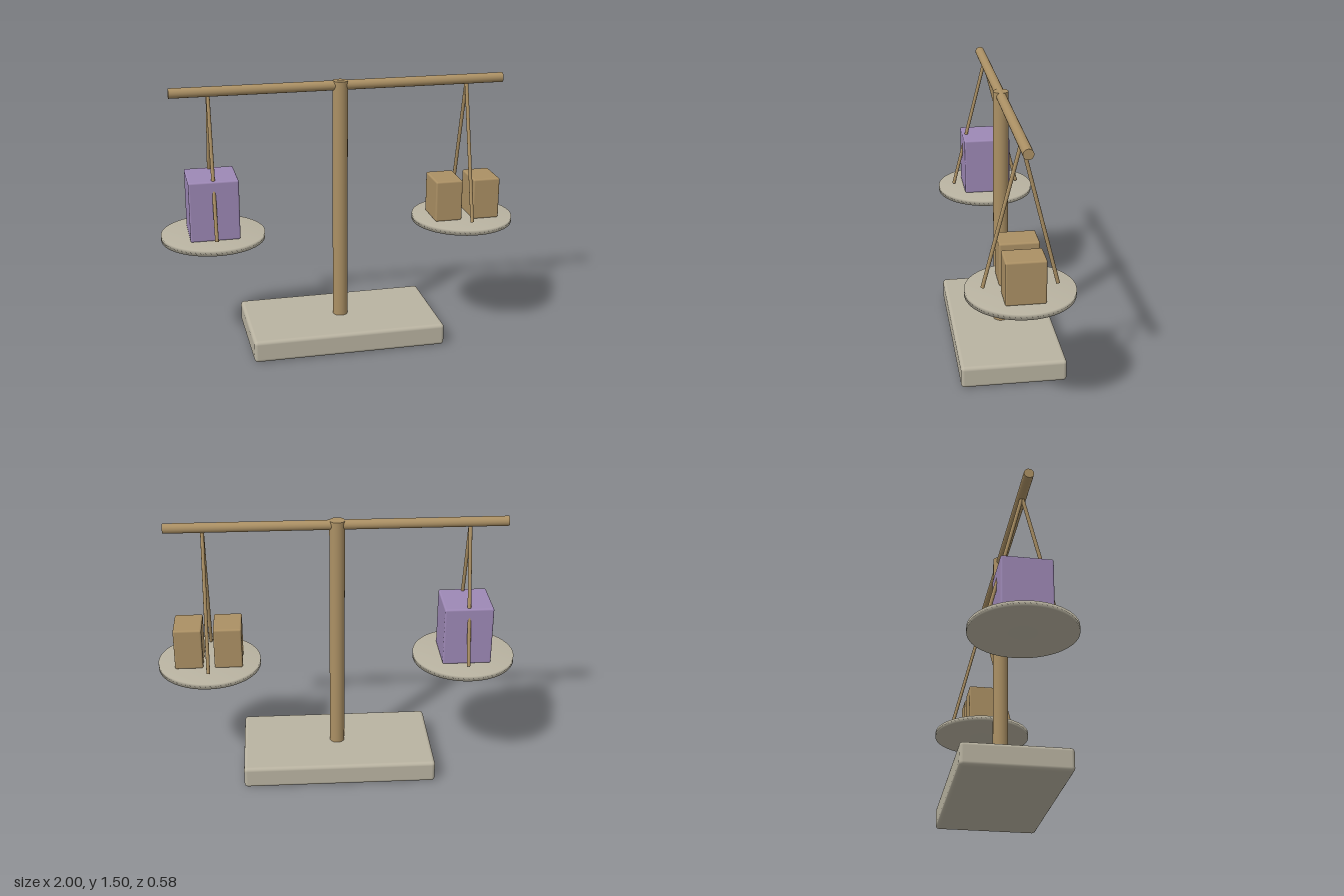
import * as THREE from 'three';
import { RoundedBoxGeometry } from 'three/addons/geometries/RoundedBoxGeometry.js';

const paint = (name, color) => {
  const m = new THREE.MeshStandardMaterial({ color });
  m.name = name;
  return m;
};

export function createModel() {
  const stone = paint('stone', 0xb9b3a1);
  const wood = paint('wood', 0xab9064);
  const purple = paint('purple', 0x9d88b5);

  const model = new THREE.Group();
  model.name = 'balanceScale';

  const add = (parent, name, geometry, material, x = 0, y = 0, z = 0) => {
    const mesh = new THREE.Mesh(geometry, material);
    mesh.name = name;
    mesh.position.set(x, y, z);
    parent.add(mesh);
    return mesh;
  };

  // Softly rounded block standing on its bottom face
  const block = (parent, name, w, h, d, r, material, x, bottom) =>
    add(parent, name, new RoundedBoxGeometry(w, h, d, 3, r), material, x, bottom + h / 2, 0);

  // Round rod between two points
  const rod = (parent, name, a, b, r, sides) => {
    const dir = b.clone().sub(a);
    const mid = a.clone().add(b).multiplyScalar(0.5);
    const mesh = add(parent, name, new THREE.CylinderGeometry(r, r, dir.length(), sides), wood, mid.x, mid.y, mid.z);
    mesh.quaternion.setFromUnitVectors(new THREE.Vector3(0, 1, 0), dir.normalize());
    return mesh;
  };
  const v = (x, y, z) => new THREE.Vector3(x, y, z);

  // Stand and beam
  block(model, 'base', 1.085, 0.125, 0.58, 0.02, stone, 0, 0);
  rod(model, 'column', v(0, 0.11, 0), v(0, 1.495, 0), 0.042, 32);
  rod(model, 'beam', v(-0.922, 1.47, 0), v(0.922, 1.47, 0), 0.027, 24);

  // Disc pan with softly shaded rim
  const panProfile = [[0, 0], [0.285, 0], [0.285, 0.03], [0, 0.03]]
    .map(([x, y]) => new THREE.Vector2(x, y));
  const panGeometry = new THREE.LatheGeometry(panProfile, 64);

  for (const side of [-1, 1]) {
    const pan = new THREE.Group();
    pan.name = side < 0 ? 'rightPan' : 'leftPan';
    pan.position.x = side * 0.715;
    model.add(pan);
    add(pan, 'dish', panGeometry, stone, 0, 0.65, 0);
    // Two hangers sloping from the beam to front and back of the dish
    for (const z of [0.193, -0.193]) {
      rod(pan, z > 0 ? 'frontHanger' : 'backHanger', v(0, 1.46, 0), v(0, 0.695, z), 0.01, 12);
    }
    // Weights
    if (side < 0) {
      block(pan, 'largeWeight', 0.27, 0.335, 0.272, 0.01, purple, 0, 0.678);
    } else {
      for (const x of [-0.109, 0.109]) block(pan, 'smallWeight', 0.155, 0.235, 0.208, 0.01, wood, x, 0.678);
    }
  }
  return model;
}
